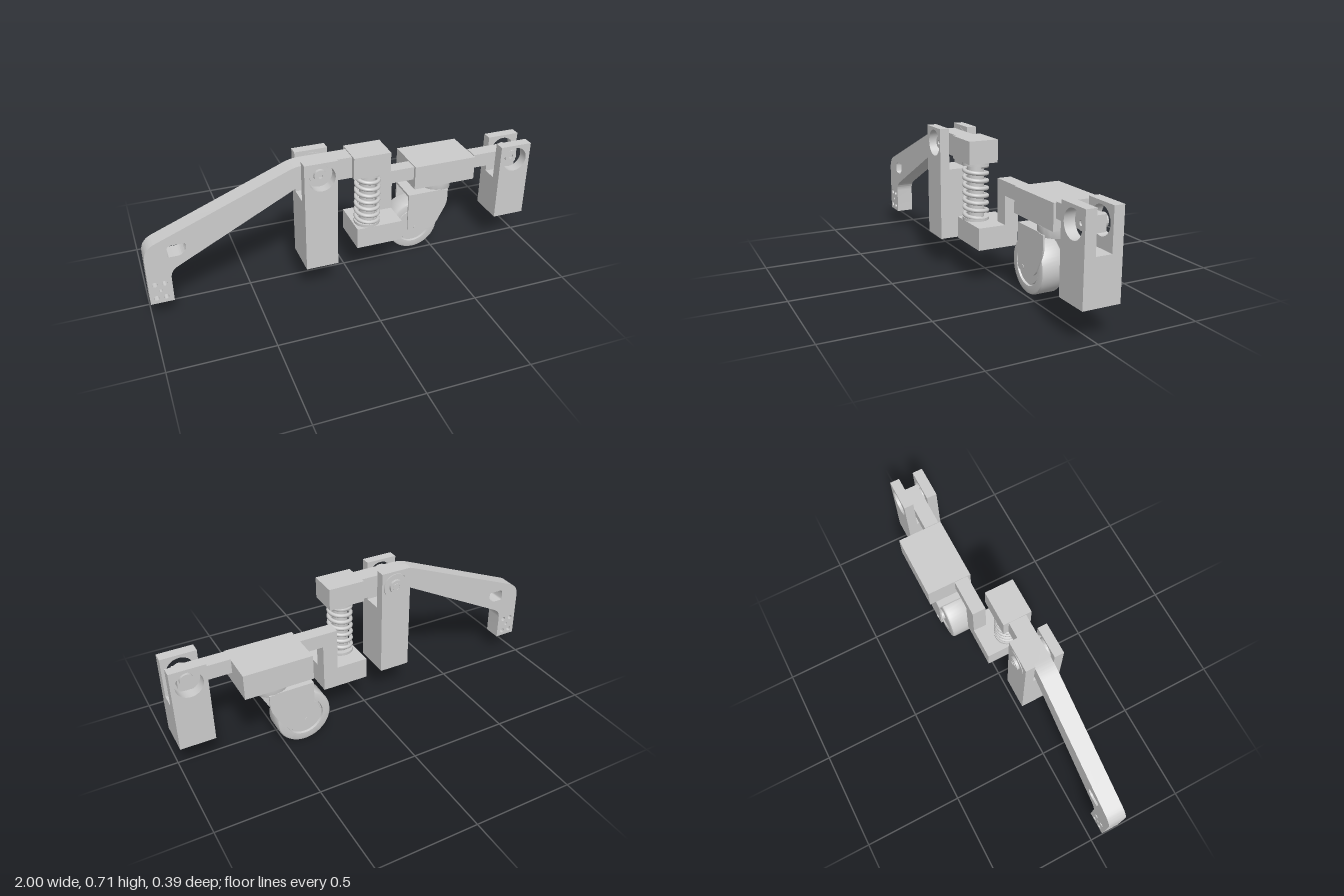
import * as THREE from 'three';
import { toCreasedNormals } from 'three/addons/utils/BufferGeometryUtils.js';

const material = new THREE.MeshStandardMaterial({ color: 0xcccccc });

function add(parent, name, geometry) {
  const mesh = new THREE.Mesh(geometry, material);
  mesh.name = name;
  parent.add(mesh);
  return mesh;
}

// Box given by its extents on each axis
function box(parent, name, [x0, x1], [y0, y1], [z0, z1]) {
  const g = new THREE.BoxGeometry(x1 - x0, y1 - y0, z1 - z0);
  g.translate((x0 + x1) / 2, (y0 + y1) / 2, (z0 + z1) / 2);
  return add(parent, name, g);
}

function circle(x, y, r) {
  return new THREE.Path().absarc(x, y, r, 0, Math.PI * 2, true);
}

function rect(x0, x1, y0, y1) {
  return new THREE.Shape([[x0, y0], [x1, y0], [x1, y1], [x0, y1]].map(p => new THREE.Vector2(...p)));
}

// Outline of [x, y, cornerRadius] points with rounded corners
function rounded(points, Type = THREE.Shape) {
  const s = new Type();
  points.forEach(([x, y, r = 0], i) => {
    const p = new THREE.Vector2(x, y);
    const ends = [points.at(i - 1), points[(i + 1) % points.length]].map(q => {
      const d = new THREE.Vector2(q[0] - x, q[1] - y).normalize();
      return p.clone().addScaledVector(d, r);
    });
    if (i === 0) s.moveTo(ends[0].x, ends[0].y);
    else s.lineTo(ends[0].x, ends[0].y);
    if (r) s.quadraticCurveTo(x, y, ends[1].x, ends[1].y);
  });
  s.closePath();
  return s;
}

function extrude(shape, z0, z1) {
  const g = new THREE.ExtrudeGeometry(shape, { depth: z1 - z0, bevelEnabled: false, curveSegments: 20 });
  g.translate(0, 0, z0);
  return toCreasedNormals(g, 0.5);
}

// Revolved [radius, height] profile, along y or z
function lathe(profile, x, y, z, alongZ) {
  const g = new THREE.LatheGeometry(profile.map(p => new THREE.Vector2(...p)), 48);
  if (alongZ) g.rotateX(Math.PI / 2);
  g.translate(x, y, z);
  return toCreasedNormals(g, 0.5);
}

const rod = (r, a, b) => [[0, a], [r, a], [r, b], [0, b]];
const tube = (ri, ro, a, b) => [[ri, a], [ro, a], [ro, b], [ri, b], [ri, a]];

// Forked post: drilled foot, solid body and two bored cheeks
function post(name, [x0, x1], [y0, floor, y1], [z0, s0, s1, z1], [px, py]) {
  const group = new THREE.Group();
  group.name = name;
  const foot = rect(x0, x1, -z1, -z0);
  for (const i of [0.25, 0.75]) for (const j of [0.25, 0.75])
    foot.holes.push(circle(x0 + (x1 - x0) * i, -z1 + (z1 - z0) * j, 0.011));
  const g = extrude(foot, y0, y0 + 0.06);
  g.rotateX(-Math.PI / 2);
  add(group, 'postFoot', g);
  box(group, 'postBody', [x0, x1], [y0 + 0.06, floor], [z0, z1]);
  for (const [a, b] of [[z0, s0], [s1, z1]]) {
    const cheek = rect(x0, x1, floor, y1);
    cheek.holes.push(circle(px, py, 0.065));
    add(group, 'postCheek', extrude(cheek, a, b));
  }
  return group;
}

export function createModel() {
  const model = new THREE.Group();

  // Posts
  model.add(post('leverPost', [-0.26, -0.1], [0.155, 0.51, 0.715], [0, 0.048, 0.147, 0.195], [-0.175, 0.637]));
  model.add(post('casterPost', [0.83, 1], [0.155, 0.37, 0.565], [-0.1, -0.05, 0.027, 0.08], [0.915, 0.485]));

  // Lever pivot: rear bearing, bolt and front collar
  const pivot = new THREE.Group();
  pivot.name = 'leverPivot';
  add(pivot, 'bearing', lathe(tube(0.03, 0.064, -0.003, 0.048), -0.175, 0.637, 0, true));
  add(pivot, 'boltHead', lathe([[0, -0.016], [0.036, -0.016], [0.036, 0.02], [0, 0.02]], -0.175, 0.637, 0, true));
  add(pivot, 'boltSocket', lathe(tube(0.012, 0.022, -0.019, -0.015), -0.175, 0.637, 0, true));
  add(pivot, 'frontCollar', lathe(tube(0.03, 0.05, 0.135, 0.155), -0.175, 0.637, 0, true));
  add(pivot, 'boltEnd', lathe([[0, 0.13], [0.03, 0.13], [0.03, 0.17], [0.012, 0.17], [0.012, 0.16], [0, 0.16]],
    -0.175, 0.637, 0, true));
  model.add(pivot);

  // Bent lever with a window and bolt holes in its foot
  const lever = rounded([
    [-1, 0.1], [-0.89, 0.1], [-0.89, 0.265, 0.04], [-0.275, 0.582, 0.02], [0, 0.582],
    [0, 0.69], [-0.28, 0.69, 0.04], [-1, 0.4, 0.06],
  ]);
  lever.holes.push(rounded([
    [-0.895, 0.34, 0.01], [-0.895, 0.4, 0.02], [-0.81, 0.4, 0.008], [-0.81, 0.365, 0.01], [-0.835, 0.34, 0.015],
  ], THREE.Path));
  for (const x of [-0.97, -0.925]) for (const y of [0.13, 0.205]) lever.holes.push(circle(x, y, 0.013));
  lever.holes.push(circle(-0.947, 0.168, 0.008));
  add(model, 'lever', extrude(lever, 0.048, 0.138));
  box(model, 'springHead', [-0.01, 0.175], [0.585, 0.695], [0.02, 0.167]);

  // Spring between two seats
  const sx = 0.087, sz = 0.093;
  const coil = [];
  for (let i = 0; i <= 168; i++) {
    const a = i / 24 * Math.PI * 2;
    coil.push(new THREE.Vector3(sx + 0.055 * Math.cos(a), 0.312 + 0.255 * i / 168, sz + 0.055 * Math.sin(a)));
  }
  add(model, 'spring', new THREE.TubeGeometry(new THREE.CatmullRomCurve3(coil), 336, 0.01, 10));
  add(model, 'springUpperSeat', lathe(rod(0.064, 0.567, 0.59), sx, 0, sz));
  add(model, 'springLowerSeat', lathe(rod(0.064, 0.295, 0.312), sx, 0, sz));
  add(model, 'springGuide', lathe(rod(0.04, 0.3, 0.58), sx, 0, sz));

  // Cranked caster arm
  box(model, 'springBase', [0.015, 0.25], [0.19, 0.298], [-0.05, 0.156]);
  box(model, 'armRiser', [0.175, 0.25], [0.298, 0.51], [-0.05, 0.02]);
  box(model, 'armBridge', [0.25, 0.37], [0.44, 0.51], [-0.05, 0.02]);
  box(model, 'casterMount', [0.37, 0.705], [0.39, 0.515], [-0.195, 0.037]);
  box(model, 'armEnd', [0.705, 0.955], [0.447, 0.52], [-0.05, 0.025]);
  for (const x of [0.425, 0.65]) for (const z of [-0.155, 0])
    add(model, 'mountBolt', lathe(rod(0.018, 0.384, 0.395), x, 0, z));

  // Caster arm pivot pin
  add(model, 'armPin', lathe([[0, -0.066], [0.032, -0.066], [0.032, 0.042], [0.012, 0.042], [0.012, 0.034], [0, 0.034]],
    0.915, 0.485, 0, true));

  // Swivel caster
  const caster = new THREE.Group();
  caster.name = 'caster';
  const cz = -0.076;
  add(caster, 'swivelRing', lathe(rod(0.066, 0.375, 0.392), 0.54, 0, cz));
  add(caster, 'swivelCup', lathe([[0, 0.322], [0.078, 0.322], [0.08, 0.328], [0.08, 0.37], [0.074, 0.378], [0, 0.378]],
    0.54, 0, cz));
  const crown = rounded([[0.355, -0.007], [0.54, -0.007], [0.54, 0.158], [0.355, 0.158]]);
  const crownGeometry = extrude(crown, 0.328, 0.34);
  crownGeometry.rotateX(-Math.PI / 2);
  add(caster, 'forkCrown', crownGeometry);
  for (const z of [-0.158, -0.001]) {
    const side = rounded([
      [0.355, 0.34], [0.355, 0.115, 0.035], [0.505, 0.115, 0.05], [0.578, 0.255, 0.03], [0.578, 0.335], [0.46, 0.34],
    ]);
    add(caster, 'forkSide', extrude(side, z, z + 0.008));
  }
  add(caster, 'axle', lathe(rod(0.011, -0.161, 0.01), 0.4, 0.139, 0, true));
  add(caster, 'wheel', lathe([
    [0, -0.052], [0.088, -0.052], [0.09, -0.046], [0.095, -0.046], [0.097, -0.058], [0.126, -0.058], [0.134, -0.055],
    [0.138, -0.047], [0.138, 0.047], [0.134, 0.055], [0.126, 0.058], [0.097, 0.058], [0.095, 0.046], [0.09, 0.046],
    [0.088, 0.052], [0, 0.052],
  ], 0.4, 0.139, cz, true));
  add(caster, 'wheelHub', lathe(rod(0.03, -0.07, 0.07), 0.4, 0.139, cz, true));
  model.add(caster);

  return model;
}
